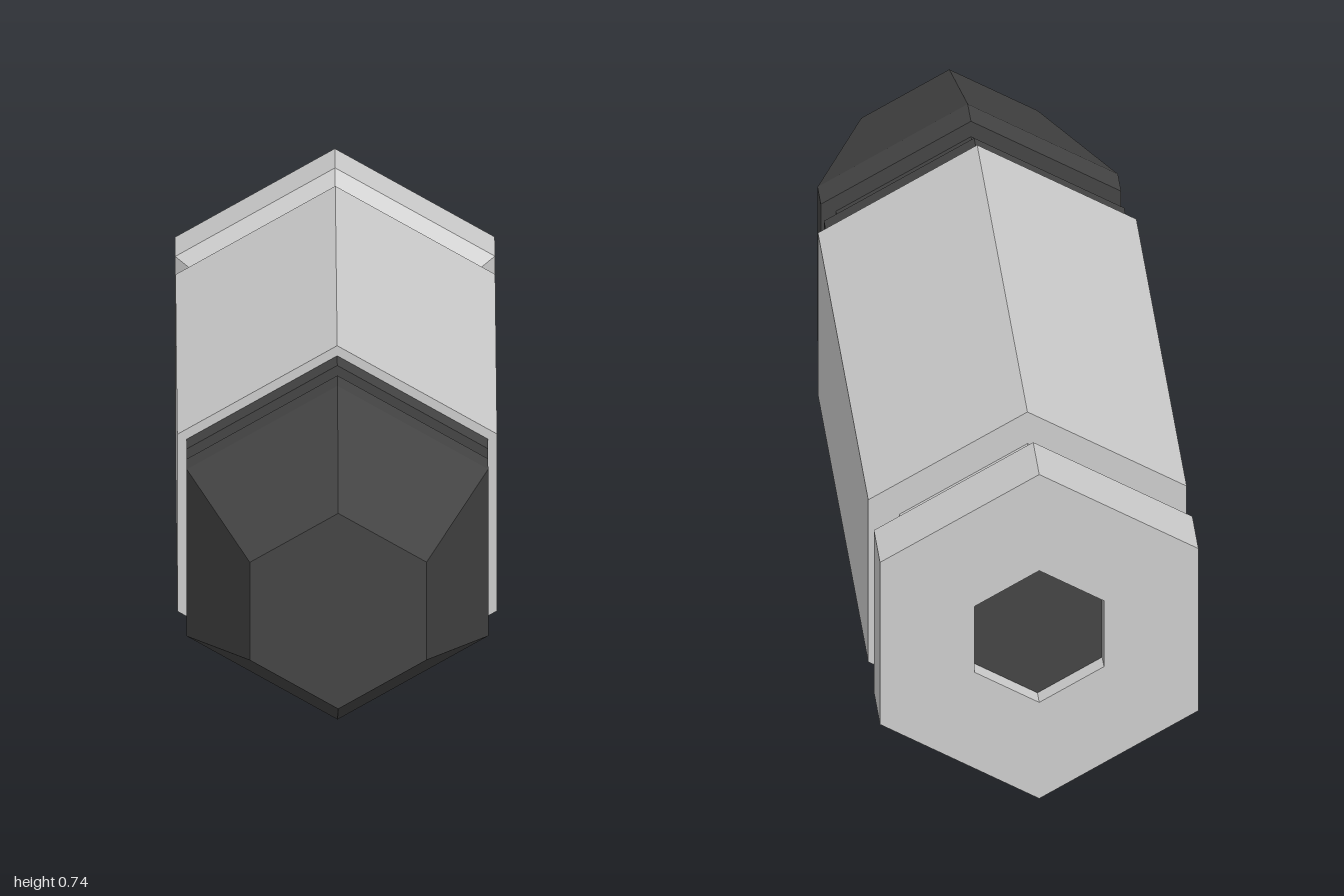
import * as THREE from 'three';

const SIDES = 6;
const CENTER_Y = 0.369;

// Six-sided solid along z from [radius, z] profile points, ordered back to front
function hexPart(name, profile, material) {
  const points = profile.map(([r, z]) => new THREE.Vector2(r, z));
  const geometry = new THREE.LatheGeometry(points, SIDES).toNonIndexed();
  geometry.rotateX(Math.PI / 2);
  geometry.computeVertexNormals();
  const mesh = new THREE.Mesh(geometry, material);
  mesh.name = name;
  mesh.position.y = CENTER_Y;
  return mesh;
}

export function createModel() {
  const casingGrey = new THREE.MeshStandardMaterial({ color: 0xcccccc, flatShading: true });
  casingGrey.name = 'casingGrey';
  const tipBlack = new THREE.MeshStandardMaterial({ color: 0x444444, flatShading: true });
  tipBlack.name = 'tipBlack';

  const group = new THREE.Group();
  group.name = 'cartridge';

  // Casing: recess wall, rim, bevel, extractor groove, body and front shoulder
  group.add(hexPart('casing', [
    [0.15, -0.96], [0.15, -1], [0.369, -1], [0.369, -0.865],
    [0.297, -0.81], [0.297, -0.738], [0.369, -0.738],
    [0.369, 0.38], [0.3, 0.38],
  ], casingGrey));

  // Tip: collar, groove, second collar and tapered nose with a flat end
  group.add(hexPart('tip', [
    [0.348, 0.38], [0.348, 0.448], [0.313, 0.448], [0.313, 0.518],
    [0.348, 0.518], [0.348, 0.59], [0.204, 1], [0, 1],
  ], tipBlack));

  // Primer: floor of the hexagonal recess in the back
  group.add(hexPart('primer', [[0, -0.96], [0.15, -0.96]], tipBlack));

  return group;
}
